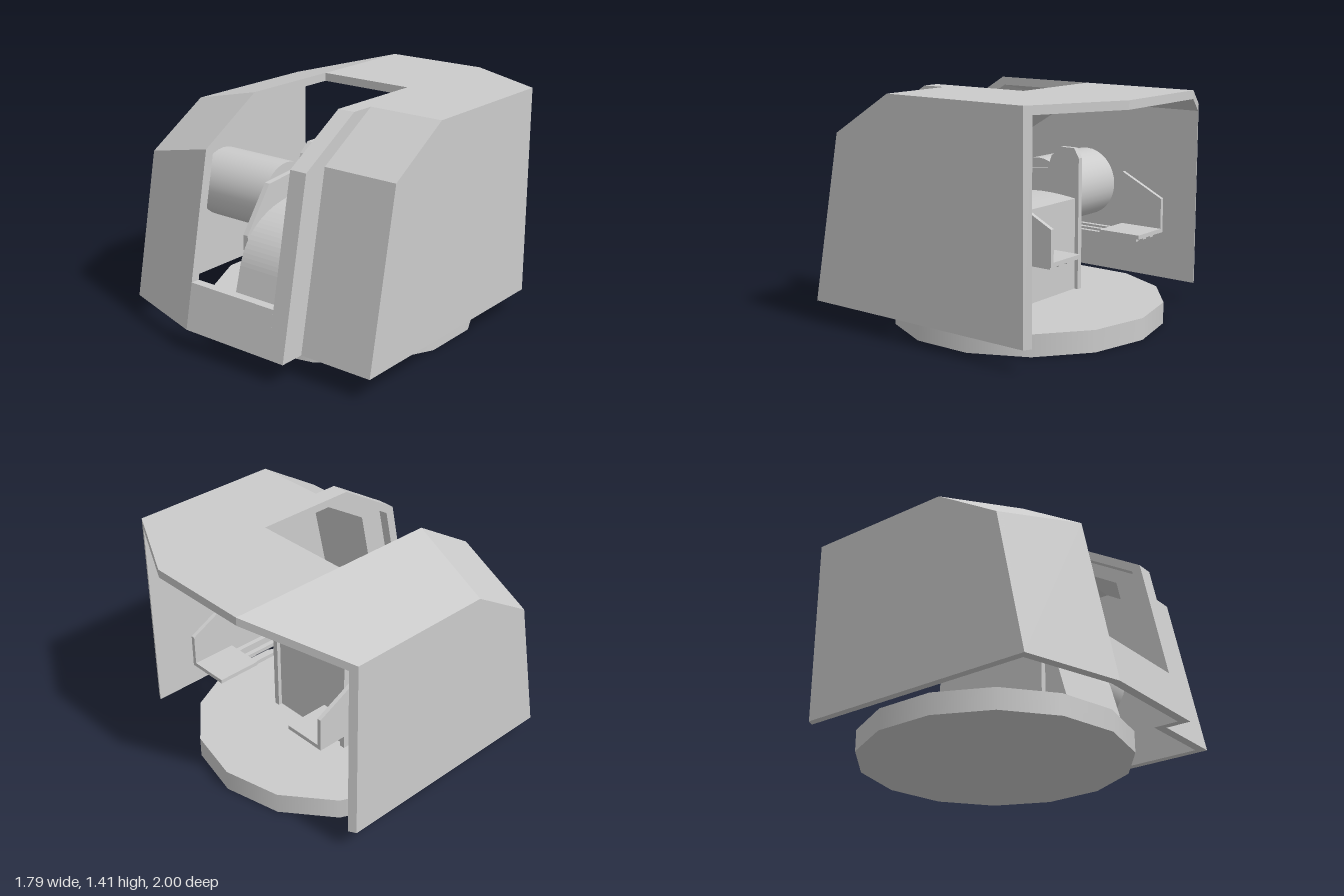
import * as THREE from 'three';

const material = new THREE.MeshStandardMaterial({ color: 0xcccccc, side: THREE.DoubleSide });

// Flat-shaded solid through matching [z, y] outlines placed at rising x
function loft(stations) {
  const cw = THREE.ShapeUtils.isClockWise(stations[0][1].map(([z, y]) => new THREE.Vector2(z, y)));
  const rings = stations.map(([x, pts]) => {
    const r = pts.map(([z, y]) => [x, y, z]);
    return cw ? r.reverse() : r;
  });
  const pos = [];
  const tri = (a, b, c) => pos.push(...a, ...b, ...c);
  for (let s = 0; s + 1 < rings.length; s++) {
    const p = rings[s], q = rings[s + 1];
    p.forEach((a, i) => {
      const j = (i + 1) % p.length;
      tri(a, q[i], q[j]);
      tri(a, q[j], p[j]);
    });
  }
  const first = rings[0], last = rings[rings.length - 1];
  const faces = THREE.ShapeUtils.triangulateShape(first.map((v) => new THREE.Vector2(v[2], v[1])), []);
  for (const [a, b, c] of faces) {
    tri(first[a], first[b], first[c]);
    tri(last[a], last[c], last[b]);
  }
  const g = new THREE.BufferGeometry();
  g.setAttribute('position', new THREE.Float32BufferAttribute(pos, 3));
  g.computeVertexNormals();
  return g;
}

// Outer shield line: front foot, knee, roof edge, roof back
const MAIN = [[1, 0.13], [0.79, 1.16], [0.38, 1.41], [-1, 1.41]];
const RIGHT_EDGE = [[0.82, 0.13], [0.64, 1.01], [0.23, 1.26], [-0.7, 1.26]];
const RECESS = [[0.845, 0.13], [0.635, 1.16], [0.23, 1.41], [-1, 1.41]];
const backZ = (x) => (x < 0.35 ? -1 : -1 + ((x - 0.35) / 0.54) * 0.28);
const withBack = (line, x) => [...line.slice(0, 3), [backZ(x), 1.41]];
const slope = (x) => RIGHT_EDGE.map((p, i) => p.map((v, k) => v + (MAIN[i][k] - v) * (x + 0.9) / 0.59));

// Inner line of the plating, and the closed outlines made from a line
const inner = (l) => [
  [l[0][0] - 0.055, l[0][1]], [l[1][0] - 0.055, l[1][1] - 0.025],
  [l[2][0] - 0.015, l[2][1] - 0.05], [l[3][0], l[3][1] - 0.05],
];
const band = (l) => [...l, ...inner(l).reverse()];
const wall = (l) => [...l, [l[3][0], 0.13]];

export function createModel() {
  const model = new THREE.Group();
  const add = (name, geometry, parent = model) => {
    const mesh = new THREE.Mesh(geometry, material);
    mesh.name = name;
    parent.add(mesh);
    return mesh;
  };
  const box = (name, x0, x1, y0, y1, z0, z1, parent) => {
    const g = new THREE.BoxGeometry(Math.abs(x1 - x0), y1 - y0, z1 - z0);
    add(name, g, parent).position.set((x0 + x1) / 2, (y0 + y1) / 2, (z0 + z1) / 2);
  };

  // Turntable
  add('turntable', new THREE.CylinderGeometry(0.82, 0.82, 0.13, 14)).position.set(0, 0.065, -0.07);

  // Armoured shield, open at the back, with a slot for the gun
  const shield = new THREE.Group();
  shield.name = 'shield';
  model.add(shield);
  add('slopedPlating', loft([-0.9, -0.31].map((x) => [x, band(slope(x))])), shield);
  add('slotSidePlating', loft([0.31, 0.35, 0.42].map((x) => [x, band(withBack(MAIN, x))])), shield);
  add('recessedPlating', loft([0.42, 0.89].map((x) => [x, band(withBack(RECESS, x))])), shield);
  add('rightWall', loft([-0.9, -0.855].map((x) => [x, wall(slope(x))])), shield);
  add('leftWall', loft([0.845, 0.89].map((x) => [x, wall(withBack(RECESS, x))])), shield);
  const step = [...MAIN.slice(0, 3), ...inner(RECESS).slice(0, 3).reverse()];
  add('stepWall', loft([0.375, 0.42].map((x) => [x, step])), shield);
  const sill = [[1, 0.13], [0.944, 0.405], [0.889, 0.405], [0.945, 0.13]];
  add('slotSill', loft([-0.31, 0.31].map((x) => [x, sill])), shield);
  box('rearRoof', -0.31, 0.31, 1.36, 1.41, -1, -0.27, shield);

  // Gun cradle housing with a rounded front
  const mount = new THREE.Group();
  mount.name = 'gunMount';
  model.add(mount);
  const housing = new THREE.Shape();
  housing.moveTo(-0.21, 0.13);
  housing.lineTo(-0.21, 0.7);
  housing.bezierCurveTo(0.02, 0.73, 0.2, 0.73, 0.35, 0.655);
  housing.bezierCurveTo(0.47, 0.6, 0.54, 0.5, 0.57, 0.4);
  housing.lineTo(0.645, 0.13);
  const housingGeo = new THREE.ExtrudeGeometry(housing, { depth: 0.56, bevelEnabled: false, curveSegments: 12 });
  housingGeo.rotateY(-Math.PI / 2).translate(0.28, 0, 0);
  add('cradleHousing', housingGeo, mount);

  // Cheek plates, trunnion drums and crew seats, mirrored
  const cheek = [
    [-0.235, 0.13], [-0.235, 0.95], [-0.2, 1.01], [-0.1, 1.01], [-0.03, 0.95],
    [0.0, 0.87], [0.3, 0.84], [0.5, 0.565], [0.5, 0.13],
  ];
  const seatSide = [[-0.66, 0.5], [-0.66, 0.71], [-0.38, 0.85], [-0.38, 0.5]];
  for (const s of [-1, 1]) {
    const span = (a, b) => [s * a, s * b].sort((p, q) => p - q);
    add('cheekPlate', loft(span(0.28, 0.315).map((x) => [x, cheek])), mount);
    const drum = new THREE.CylinderGeometry(0.22, 0.22, 0.53, 32).rotateZ(Math.PI / 2);
    add('trunnionDrum', drum, mount).position.set(s * 0.58, 0.7, 0.1);

    const seat = new THREE.Group();
    seat.name = 'crewSeat';
    model.add(seat);
    box('seatPan', s * 0.3, s * 0.57, 0.5, 0.525, -0.66, -0.38, seat);
    add('seatSide', loft(span(0.545, 0.57).map((x) => [x, seatSide])), seat);
    for (const x of [0.35, 0.43, 0.51]) {
      box('supportRail', s * (x - 0.015), s * (x + 0.015), 0.475, 0.5, -0.62, 0.1, seat);
    }
  }
  return model;
}
